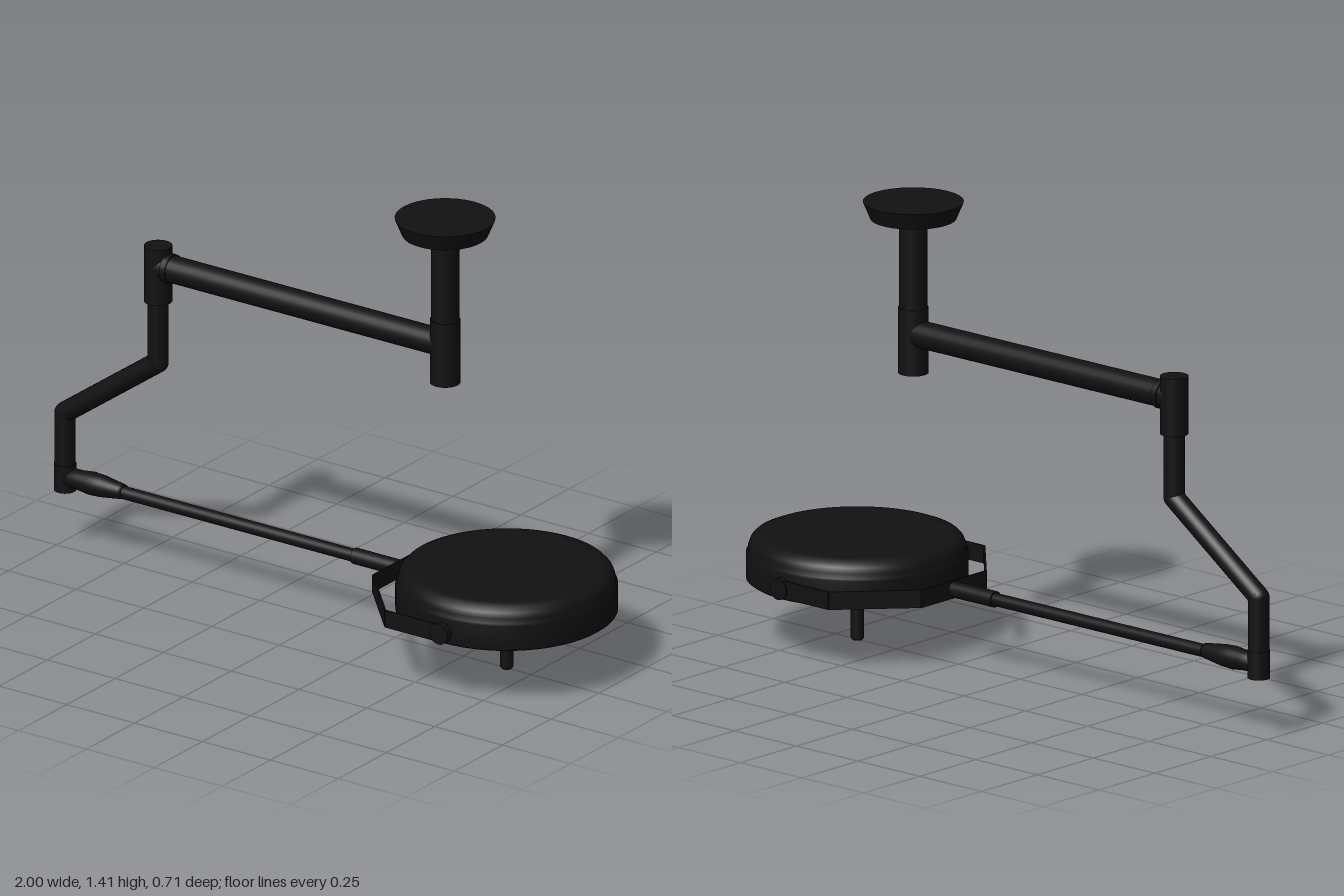
import * as THREE from 'three';

const material = new THREE.MeshStandardMaterial({ color: 0x111111, side: THREE.DoubleSide });
const UP = new THREE.Vector3(0, 1, 0);

export function createModel() {
  const model = new THREE.Group();
  model.name = 'ceilingLamp';

  function add(name, geometry, x = 0, y = 0, z = 0) {
    const mesh = new THREE.Mesh(geometry, material);
    mesh.name = name;
    mesh.position.set(x, y, z);
    model.add(mesh);
    return mesh;
  }

  // Upright cylinder between two heights
  function post(name, x, bottom, top, radius, topRadius = radius) {
    const geometry = new THREE.CylinderGeometry(topRadius, radius, top - bottom, 32);
    return add(name, geometry, x, (bottom + top) / 2, 0);
  }

  // Turned part whose [radius, distance] profile runs along +x from a start point
  function turnedAlongX(name, x, y, profile) {
    const points = profile.map(([r, d]) => new THREE.Vector2(r, d));
    add(name, new THREE.LatheGeometry(points, 24), x, y, 0).rotation.z = -Math.PI / 2;
  }

  // Round bar between two points in the xy plane
  function bar(name, [x1, y1], [x2, y2], radius) {
    const a = new THREE.Vector3(x1, y1, 0), b = new THREE.Vector3(x2, y2, 0);
    const mesh = add(name, new THREE.CylinderGeometry(radius, radius, a.distanceTo(b), 24));
    mesh.position.copy(a).lerp(b, 0.5);
    mesh.quaternion.setFromUnitVectors(UP, b.sub(a).normalize());
  }

  // Ceiling plate and column
  post('ceilingPlate', 0.433, 1.357, 1.41, 0.13, 0.152);
  post('column', 0.433, 0.88, 1.36, 0.043);
  post('columnSleeve', 0.433, 0.875, 1.08, 0.046);

  // Upper swing arm and its joint
  bar('upperArm', [-0.625, 1], [0.433, 1], 0.042);
  post('armJoint', -0.625, 0.885, 1.065, 0.043);
  bar('armJointCollar', [-0.59, 1], [-0.57, 1], 0.046);

  // Cranked drop arm with ball-filled elbows
  const bends = [[-0.625, 0.9], [-0.625, 0.685], [-0.968, 0.44], [-0.968, 0.26]];
  for (let i = 0; i < 3; i++) bar('dropArm', bends[i], bends[i + 1], 0.032);
  for (const [x, y] of bends.slice(1, 3)) add('elbow', new THREE.SphereGeometry(0.032, 24, 16), x, y, 0);
  post('lowerJoint', -0.968, 0.188, 0.275, 0.034);

  // Spring arm: flared knuckle, thin rod, thicker end sleeve
  turnedAlongX('knuckle', -0.96, 0.232, [
    [0, 0], [0.03, 0], [0.031, 0.05], [0.036, 0.09], [0.034, 0.13], [0.024, 0.2], [0.022, 0.21], [0, 0.21],
  ]);
  bar('lowerArm', [-0.8, 0.23], [0.12, 0.23], 0.02);
  bar('lowerArmSleeve', [0.1, 0.23], [0.272, 0.23], 0.025);

  // Thin faceted yoke reaching round both sides of the lamp
  const yoke = [[0.66, -0.348], [0.46, -0.348], [0.27, -0.145], [0.27, 0.145], [0.46, 0.348], [0.66, 0.348]];
  for (let i = 0; i < yoke.length - 1; i++) {
    const [x1, z1] = yoke[i], [x2, z2] = yoke[i + 1];
    const strip = new THREE.BoxGeometry(Math.hypot(x2 - x1, z2 - z1), 0.056, 0.005);
    add('yoke', strip, (x1 + x2) / 2, 0.23, (z1 + z2) / 2).rotation.y = -Math.atan2(z2 - z1, x2 - x1);
  }
  for (const side of [-1, 1]) {
    const pivot = new THREE.CylinderGeometry(0.033, 0.033, 0.03, 24);
    add('yokePivot', pivot, 0.66, 0.229, side * 0.34).rotation.x = Math.PI / 2;
  }

  // Lamp head: rim, stepped rounded cover and slightly bulging underside
  const head = [
    [0, 0.188], [0.06, 0.188], [0.09, 0.183], [0.19, 0.183], [0.23, 0.188], [0.325, 0.19],
    [0.335, 0.197], [0.335, 0.274], [0.329, 0.279], [0.328, 0.295], [0.322, 0.312],
    [0.31, 0.325], [0.29, 0.333], [0.26, 0.336], [0, 0.336],
  ].map(([r, y]) => new THREE.Vector2(r, y));
  add('lampHead', new THREE.LatheGeometry(head, 64), 0.66, 0, 0);

  // Handle under the lamp
  post('handleCollar', 0.66, 0.135, 0.19, 0.03);
  post('handleTaper', 0.66, 0.125, 0.135, 0.021, 0.03);
  post('handle', 0.66, 0.006, 0.13, 0.02);
  post('handleTip', 0.66, 0, 0.006, 0.016, 0.02);

  return model;
}
